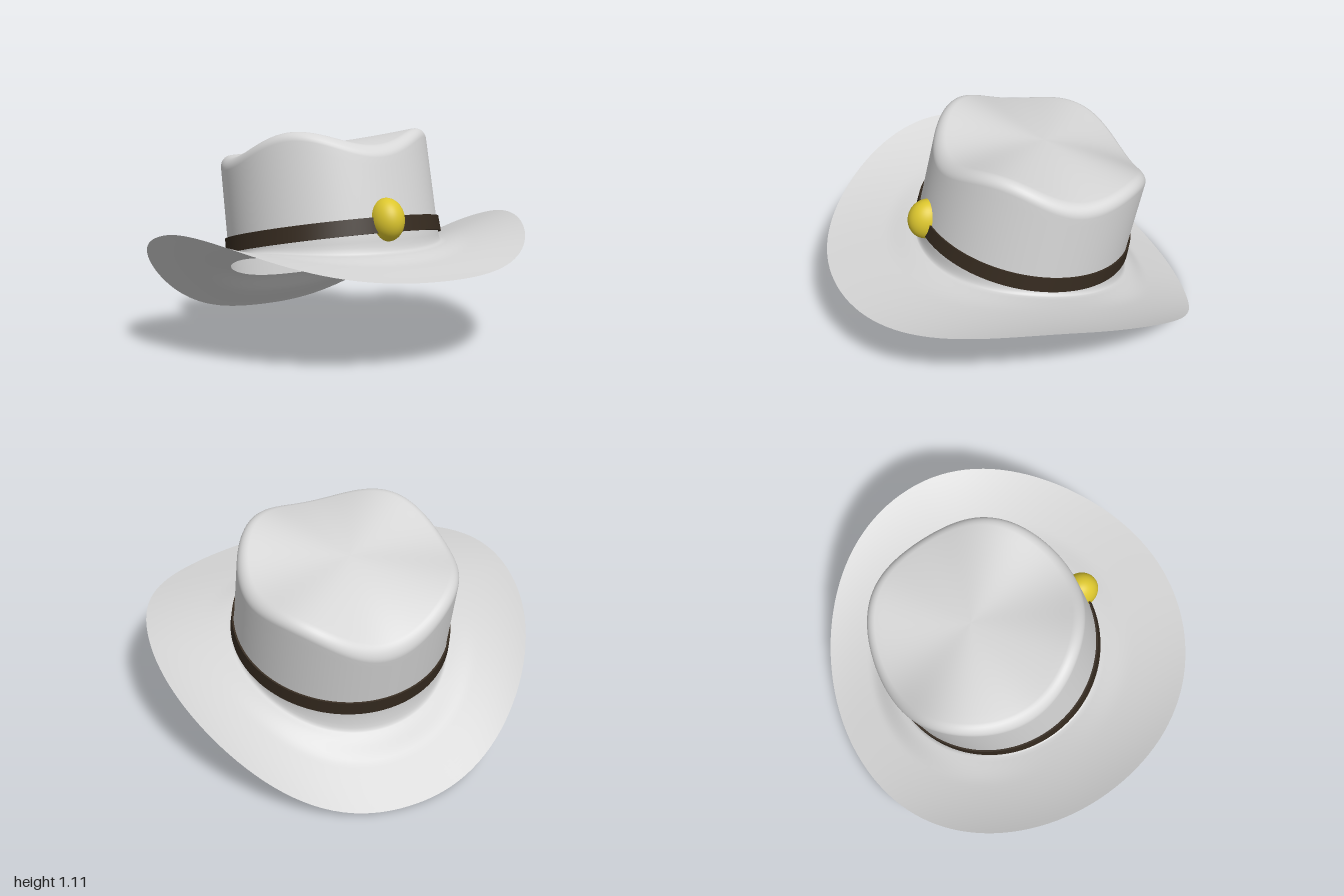
import * as THREE from 'three';

const SEG = 128;
const TILT = 0.218;
const CA = Math.cos(TILT), SA = Math.sin(TILT);
const { lerp, smoothstep } = THREE.MathUtils;

// Height of the curved brim at any point
function brimPoint(x, z) {
  const centre = 0.45 + 0.232 * z - 0.315 * z * z + 0.081 * z ** 4;
  const lift = 0.165 + (z < 0 ? 0.24 * z * z : 0);
  return new THREE.Vector3(x, centre + lift * Math.abs(x) ** 3, z);
}

// Brim ring point: f = 0 at the outer edge, 1 at the opening
function brimRing(t, f, opening) {
  const c = Math.cos(t), s = Math.sin(t);
  const x = lerp(1, opening, f) * c;
  const z = lerp(0.968 * s - 0.06 * c * c, -0.07 + (opening - 0.015) * s, f);
  const p = brimPoint(x, z);
  p.y += smoothstep(f, 0.65, 1) * s * s * (s < 0 ? 0.05 : 0.02);
  return p;
}

// Underside of the brim, thickening towards the opening
function undersideRing(t, f) {
  const p = brimRing(t, f, 0.555);
  p.y -= smoothstep(f, 0, 0.7) * (0.015 + 0.008 * Math.sin(t));
  return p;
}

// Point in the crown's tilted frame: angle, radius, height
function crownPoint(t, r, h) {
  const x = r * Math.cos(t), lz = r * Math.sin(t);
  return new THREE.Vector3(x, 0.46 + CA * h + SA * lz, -0.07 - SA * h + CA * lz);
}

// Crown top: rim is low at front and back, high at the four corners
function topHeight(t, r) {
  const rim = 0.534 + 0.0275 * Math.cos(2 * t) - 0.043 * Math.cos(4 * t) + 0.011 * Math.sin(t);
  return 0.567 + (rim - 0.567) * (r / 0.53) ** 2;
}

// Closed loops joined into a skin; each ring is a function of the angle
function loft(rings) {
  const pos = [], index = [];
  rings.forEach((ring, j) => {
    for (let i = 0; i < SEG; i++) {
      pos.push(...ring((i / SEG) * Math.PI * 2).toArray());
      if (j === rings.length - 1) continue;
      const k = (i + 1) % SEG;
      const a = j * SEG + i, b = j * SEG + k, c = a + SEG, d = b + SEG;
      index.push(a, c, b, b, c, d);
    }
  });
  const geo = new THREE.BufferGeometry();
  geo.setAttribute('position', new THREE.Float32BufferAttribute(pos, 3));
  geo.setIndex(index);
  geo.computeVertexNormals();
  return geo;
}

// Part of a lofted skin that keeps the shared smooth normals
function slice(geo, from, to) {
  const part = geo.clone();
  part.setIndex(Array.from(geo.index.array.slice(from * SEG * 6, to * SEG * 6)));
  return part;
}

export function createModel() {
  const group = new THREE.Group();
  const material = (name, color) => {
    const m = new THREE.MeshStandardMaterial({ color, side: THREE.DoubleSide });
    m.name = name;
    return m;
  };
  const felt = material('paleGreyFelt', 0xd6d6d6);
  const leather = material('darkBrownLeather', 0x352a1f);
  const gold = material('yellowGold', 0xdcc62e);
  const add = (name, geo, mat) => {
    const mesh = new THREE.Mesh(geo, mat);
    mesh.name = name;
    group.add(mesh);
    return mesh;
  };

  // Brim, from the outer edge inwards
  const rings = [], underside = [];
  const BRIM = 20, FILLET = 5, WALL = 10, SHOULDER = 8, TOP = 12;
  for (let j = 0; j <= BRIM; j++) {
    rings.push((t) => brimRing(t, j / BRIM, 0.582));
    underside.push((t) => undersideRing(t, j / BRIM));
  }
  add('brimUnderside', loft(underside), felt);

  // Inner lip from the opening up to the level of the band
  add('innerLip', loft([(t) => undersideRing(t, 1), (t) => crownPoint(t, 0.558, 0.035)]), felt);

  // Tight turn from brim into crown wall
  for (let j = 1; j <= FILLET; j++) {
    rings.push((t) => {
      const p0 = brimRing(t, 1, 0.582), p2 = crownPoint(t, 0.562, 0.03);
      const p1 = new THREE.Vector3(0.565 * Math.cos(t), p0.y + 0.005, -0.07 + 0.548 * Math.sin(t));
      return new THREE.QuadraticBezierCurve3(p0, p1, p2).getPoint(j / FILLET);
    });
  }

  // Crown wall, up to the start of the rounded shoulder
  const DROP = 0.055, INNER = 0.5;
  for (let j = 1; j < WALL; j++) {
    const f = j / WALL;
    rings.push((t) => crownPoint(t, lerp(0.562, INNER + DROP, f),
      lerp(0.03, topHeight(t, INNER + DROP) - DROP, f)));
  }
  // Shoulder arc
  for (let j = 0; j <= SHOULDER; j++) {
    const a = (j / SHOULDER) * Math.PI / 2;
    const r = INNER + DROP * Math.cos(a);
    rings.push((t) => crownPoint(t, r, topHeight(t, r) - DROP * (1 - Math.sin(a))));
  }
  // Saddle-shaped top
  for (let j = 1; j <= TOP; j++) {
    const r = lerp(INNER, 0.0005, j / TOP);
    rings.push((t) => crownPoint(t, r, topHeight(t, r)));
  }
  const skin = loft(rings);
  add('brim', slice(skin, 0, BRIM), felt);
  add('crown', slice(skin, BRIM, rings.length - 1), felt);

  // Hat band; doubled corners keep its edges sharp
  const strip = [
    [0.565, 0.035], [0.578, 0.035], [0.578, 0.035], [0.573, 0.115], [0.573, 0.115], [0.564, 0.115],
  ];
  add('hatBand', loft(strip.map(([r, h]) => (t) => crownPoint(t, r, h))), leather);

  // Half-egg ornament on the front of the band
  const ornament = add('bandOrnament', new THREE.SphereGeometry(1, 32, 24, 0, Math.PI), gold);
  ornament.scale.set(0.086, 0.109, 0.098);
  ornament.position.set(0, 0.677, 0.45);
  ornament.rotation.x = -TILT;

  return group;
}
